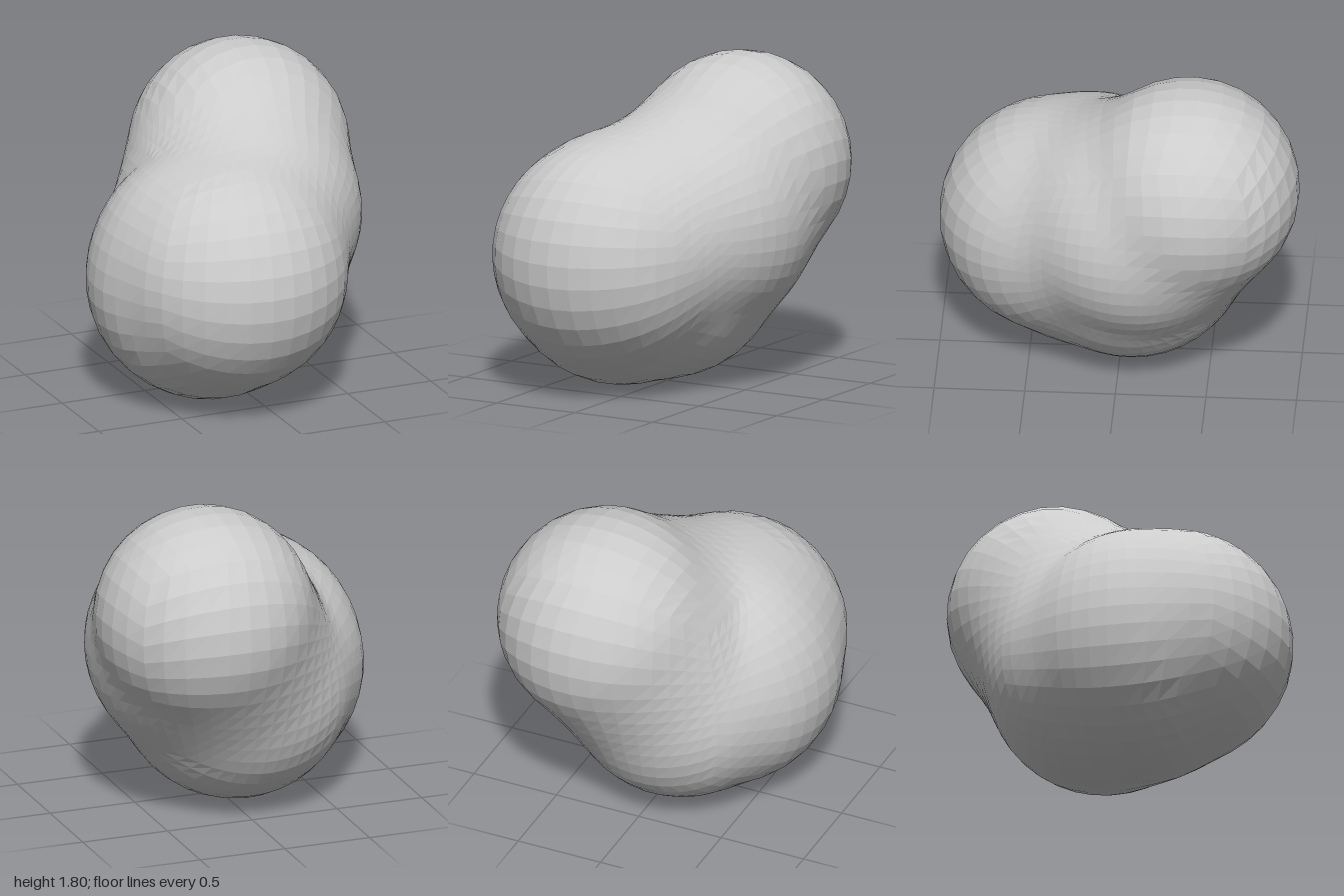
import * as THREE from 'three';
import { mergeVertices } from 'three/addons/utils/BufferGeometryUtils.js';

// Balls that shape the bean: centre and radius
const ball = (x, y, z, r) => ({ c: new THREE.Vector3(x, y, z), r });
const front = ball(-0.15, 0.77, 0.36, 0.63);
const lower = ball(-0.19, 0.68, 0.16, 0.66);
const side = ball(-0.2, 0.79, 0.17, 0.63);
const base = ball(-0.06, 0.67, -0.06, 0.63);
const belly = ball(0.13, 0.94, -0.1, 0.64);
const top = ball(0.24, 1.205, -0.39, 0.597);

// Tapered capsules joining pairs of balls
const LINKS = [
  [front, lower], [front, side], [lower, base], [front, belly],
  [base, belly], [base, top], [belly, top],
];
const BLEND = 0.02;
const CORE = new THREE.Vector3(0.02, 0.88, -0.03);

// Distance to the softly blended capsules
function distance(p) {
  let sum = 0;
  for (const [a, b] of LINKS) {
    const axis = b.c.clone().sub(a.c);
    const along = p.clone().sub(a.c).dot(axis) / axis.lengthSq();
    const t = THREE.MathUtils.clamp(along, 0, 1);
    const r = THREE.MathUtils.lerp(a.r, b.r, t);
    const gap = p.distanceTo(axis.multiplyScalar(t).add(a.c)) - r;
    sum += Math.exp(-gap / BLEND);
  }
  return -BLEND * Math.log(sum);
}

// Point where a ray from the core leaves the body, found by bisection
function surfacePoint(dir) {
  let near = 0, far = 2;
  const p = new THREE.Vector3();
  for (let i = 0; i < 24; i++) {
    const mid = (near + far) / 2;
    p.copy(CORE).addScaledVector(dir, mid);
    if (distance(p) < 0) near = mid;
    else far = mid;
  }
  return p;
}

export function createModel() {
  // Cube grid rounded outwards onto the body
  let geo = new THREE.BoxGeometry(2, 2, 2, 13, 13, 13);
  geo.deleteAttribute('uv');
  geo.deleteAttribute('normal');
  geo = mergeVertices(geo);
  const pos = geo.attributes.position;
  const dir = new THREE.Vector3();
  for (let i = 0; i < pos.count; i++) {
    dir.fromBufferAttribute(pos, i);
    // Even out the angles so that cells keep a similar size
    dir.set(...dir.toArray().map((v) => Math.tan(v * Math.PI / 4))).normalize();
    const p = surfacePoint(dir);
    pos.setXYZ(i, p.x, p.y, p.z);
  }
  geo.computeVertexNormals();

  const body = new THREE.Mesh(
    geo,
    new THREE.MeshStandardMaterial({ color: 0xcccccc, flatShading: true }),
  );
  body.name = 'body';
  const group = new THREE.Group();
  group.name = 'bean';
  group.add(body);
  return group;
}
